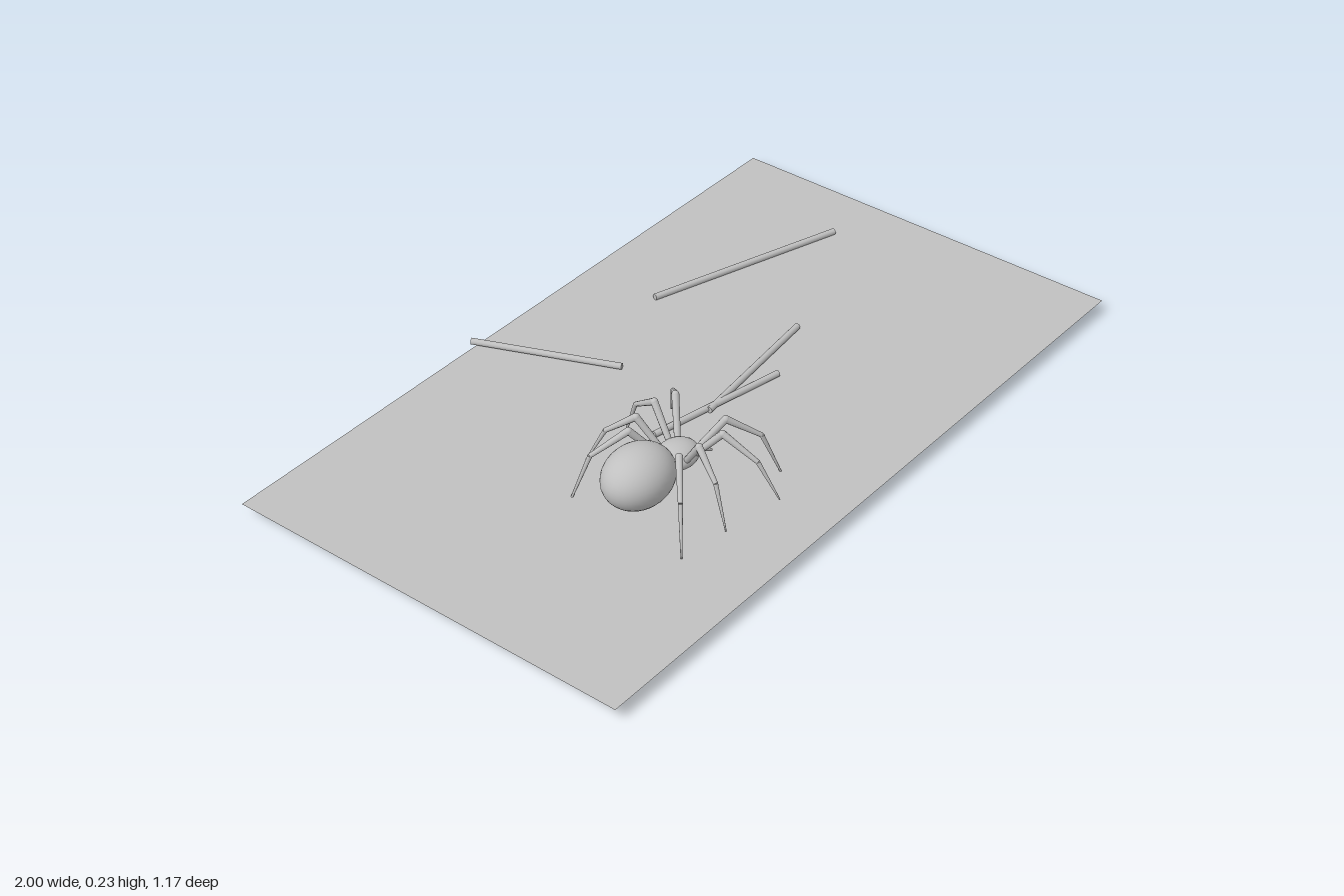
import * as THREE from 'three';

const grey = new THREE.MeshStandardMaterial({ color: 0xc0c0c0 });
grey.name = 'plain grey';
grey.side = THREE.DoubleSide;

const V = (x, y, z) => new THREE.Vector3(x, y, z);
const UP = V(0, 1, 0);

// Tapered rod from a to b
function rod(name, a, b, ra, rb, sides = 12) {
  const mesh = new THREE.Mesh(new THREE.CylinderGeometry(rb, ra, a.distanceTo(b), sides), grey);
  mesh.name = name;
  mesh.position.copy(a).lerp(b, 0.5);
  mesh.quaternion.setFromUnitVectors(UP, b.clone().sub(a).normalize());
  return mesh;
}

function ellipsoid(name, centre, rx, ry, rz) {
  const mesh = new THREE.Mesh(new THREE.SphereGeometry(1, 32, 20), grey);
  mesh.name = name;
  mesh.scale.set(rx, ry, rz);
  mesh.position.copy(centre);
  return mesh;
}

// Leg of three tapered segments, lying in one vertical plane from hip to tip
function leg(name, hip, tip) {
  const group = new THREE.Group();
  group.name = name;
  const along = (t, y) => V(0, 0, 0).lerpVectors(hip, tip, t).setY(y);
  const points = [hip, along(0.33, 0.212), along(0.74, 0.152), tip];
  const radii = [0.008, 0.0095, 0.006, 0.002];
  ['femur', 'tibia', 'tarsus'].forEach((part, i) =>
    group.add(rod(part, points[i], points[i + 1], radii[i], radii[i + 1], 10)));
  const knee = ellipsoid('knee', points[1], 0.0095, 0.0095, 0.0095);
  group.add(knee);
  return group;
}

export function createModel() {
  const model = new THREE.Group();
  model.name = 'spiderOnGround';

  // Ground sheet
  const ground = new THREE.Mesh(new THREE.PlaneGeometry(2, 1.15), grey);
  ground.name = 'ground';
  ground.rotation.x = -Math.PI / 2;
  ground.position.set(0, 0.036, 0.006);
  model.add(ground);

  // Sticks lying on the ground: x, z of both ends
  const sticks = [
    [-0.172, -0.583, -0.018, -0.21],
    [0.275, -0.34, 0.822, -0.158],
    [-0.19, 0.033, 0.203, 0.117],
    [-0.027, 0.077, 0.4, 0.032],
  ];
  sticks.forEach(([x1, z1, x2, z2], i) =>
    model.add(rod(`stick${i + 1}`, V(x1, 0.045, z1), V(x2, 0.045, z2), 0.0088, 0.0088)));

  // Spider, looking along +x
  const spider = new THREE.Group();
  spider.name = 'spider';
  const mid = 0.193;
  spider.add(
    ellipsoid('abdomen', V(-0.444, 0.151, 0.193), 0.101, 0.077, 0.083),
    ellipsoid('headAndThorax', V(-0.297, 0.127, mid), 0.058, 0.031, 0.05),
  );

  // Legs from back to front: hip x, hip distance from the middle, then tips on both sides
  const legs = [
    [-0.33, 0.028, V(-0.515, 0.04, 0.378), V(-0.502, 0.002, 0.018)],
    [-0.312, 0.037, V(-0.373, 0.042, 0.398), V(-0.375, 0.052, -0.027)],
    [-0.28, 0.037, V(-0.213, 0.055, 0.435), V(-0.215, 0.024, -0.04)],
    [-0.262, 0.028, V(-0.098, 0.016, 0.362), V(-0.085, 0.05, 0.004)],
  ];
  legs.forEach(([x, d, near, far], i) => {
    spider.add(leg(`rightLeg${i + 1}`, V(x, 0.132, mid + d), near));
    spider.add(leg(`leftLeg${i + 1}`, V(x, 0.132, mid - d), far));
  });

  // Feelers and fangs
  for (const s of [-1, 1]) {
    spider.add(
      rod('feeler', V(-0.252, 0.128, mid + s * 0.024), V(-0.21, 0.103, mid + s * 0.034), 0.007, 0.004),
      rod('fang', V(-0.25, 0.125, mid + s * 0.011), V(-0.226, 0.1, mid + s * 0.011), 0.009, 0.003),
    );
  }
  model.add(spider);
  return model;
}
